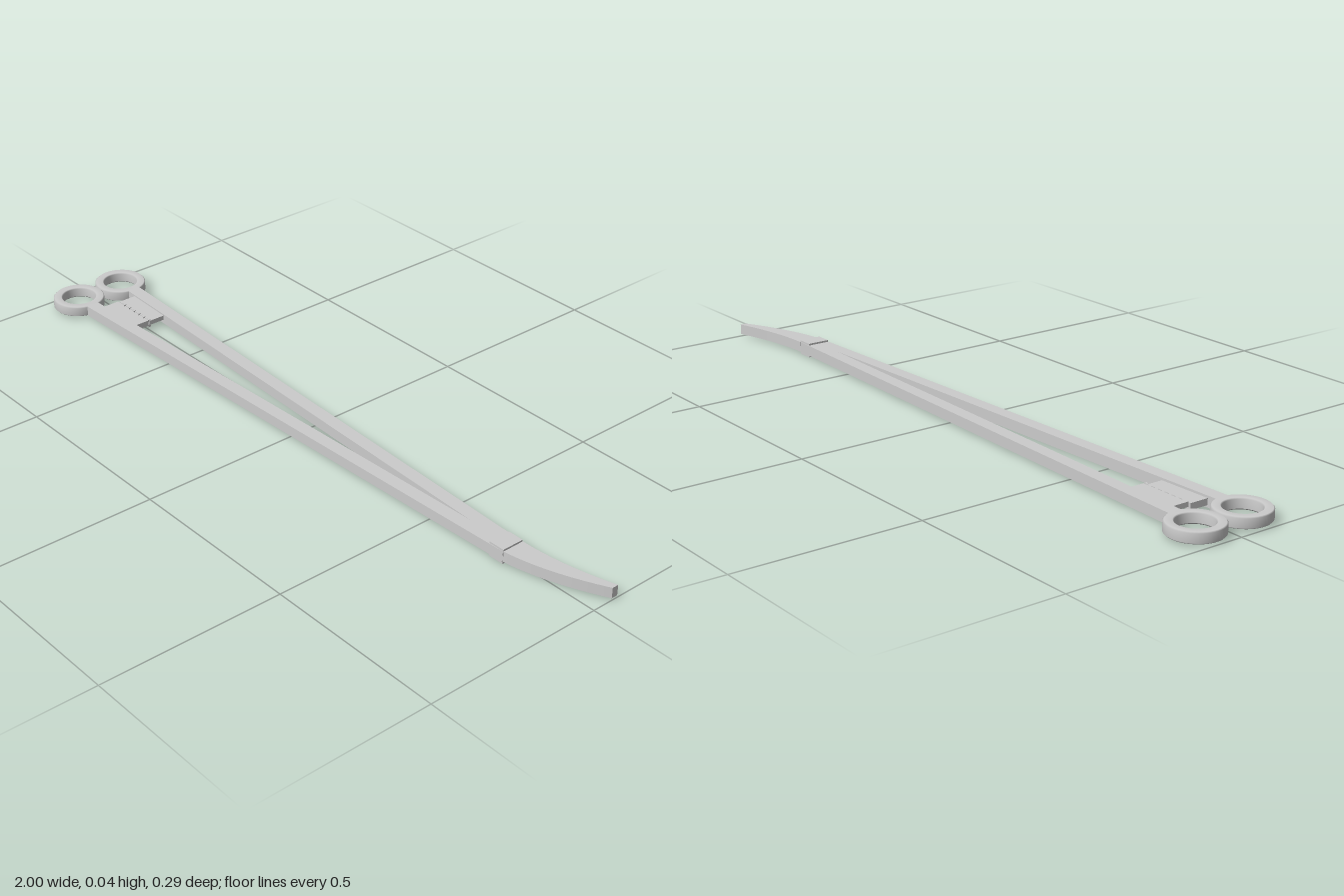
import * as THREE from 'three';

const material = new THREE.MeshStandardMaterial({ color: 0xcccccc });
const LOW = 0.006, HIGH = 0.035;

// Extrudes an outline drawn in (x, z) between two heights
function slab(name, shape, low = LOW, high = HIGH) {
  const geometry = new THREE.ExtrudeGeometry(shape, {
    depth: high - low, bevelEnabled: false, curveSegments: 16,
  });
  geometry.rotateX(Math.PI / 2);
  geometry.translate(0, high, 0);
  const mesh = new THREE.Mesh(geometry, material);
  mesh.name = name;
  return mesh;
}

function polygon(points) {
  return new THREE.Shape(points.map(([x, z]) => new THREE.Vector2(x, z)));
}

// Finger ring with softly chamfered rims
function fingerRing(name, z) {
  const inner = 0.047, outer = 0.072, c = 0.003;
  const profile = [
    [inner, LOW + c], [inner + c, LOW], [outer - c, LOW], [outer, LOW + c],
    [outer, HIGH - c], [outer - c, HIGH], [inner + c, HIGH], [inner, HIGH - c], [inner, LOW + c],
  ].map(([r, y]) => new THREE.Vector2(r, y));
  const mesh = new THREE.Mesh(new THREE.LatheGeometry(profile, 48), material);
  mesh.name = name;
  mesh.position.set(-0.928, 0, z);
  return mesh;
}

// Half of the curved jaw, between two edge curves
function jaw(name, edgeA, edgeB) {
  const [a0, a1, a2] = edgeA, [b0, b1, b2] = edgeB;
  const shape = new THREE.Shape();
  shape.moveTo(0.74, a0);
  shape.quadraticCurveTo(0.86, a1, 1, a2);
  shape.lineTo(1, b2);
  shape.quadraticCurveTo(0.86, b1, 0.74, b0);
  shape.closePath();
  return slab(name, shape);
}

export function createModel() {
  const model = new THREE.Group();
  model.name = 'curvedForceps';

  for (const [side, s] of [['back', -1], ['front', 1]]) {
    model.add(fingerRing(side + 'FingerRing', s * 0.072));

    // Long tapering shank, meeting its partner just before the hinge
    model.add(slab(side + 'Shank', polygon([
      [-0.875, s * 0.091], [0.74, s * 0.032], [0.74, 0], [0.6, 0], [-0.875, s * 0.054],
    ])));

    // Ratchet plate reaching inwards from the shank
    const x = s < 0 ? -0.83 : -0.837;
    const [low, high] = s < 0 ? [0.018, 0.031] : [0.012, 0.029];
    model.add(slab(side + 'RatchetPlate', polygon([
      [x, s * 0.056], [x + 0.147, s * 0.052], [x + 0.147, 0], [x, 0],
    ]), low, high));
  }

  // Row of small ratchet teeth where the plates meet
  const teeth = new THREE.Group();
  teeth.name = 'ratchetTeeth';
  for (let i = 0; i < 6; i++) {
    const x = -0.815 + i * 0.023;
    teeth.add(slab('ratchetTooth', polygon([
      [x, -0.004], [x + 0.014, -0.004], [x + 0.014, 0.004],
    ]), 0.01, 0.033));
  }
  model.add(teeth);

  // Hinge box, a little taller than the shanks
  const hinge = new THREE.Mesh(new THREE.BoxGeometry(0.045, 0.04, 0.063), material);
  hinge.name = 'hingeBox';
  hinge.position.set(0.72, 0.02, 0);
  model.add(hinge);

  // Pair of closed jaws, sweeping towards the back
  model.add(jaw('backJaw', [-0.033, -0.032, -0.076], [0, -0.01, -0.067]));
  model.add(jaw('frontJaw', [0, -0.01, -0.067], [0.031, 0.017, -0.058]));
  return model;
}
